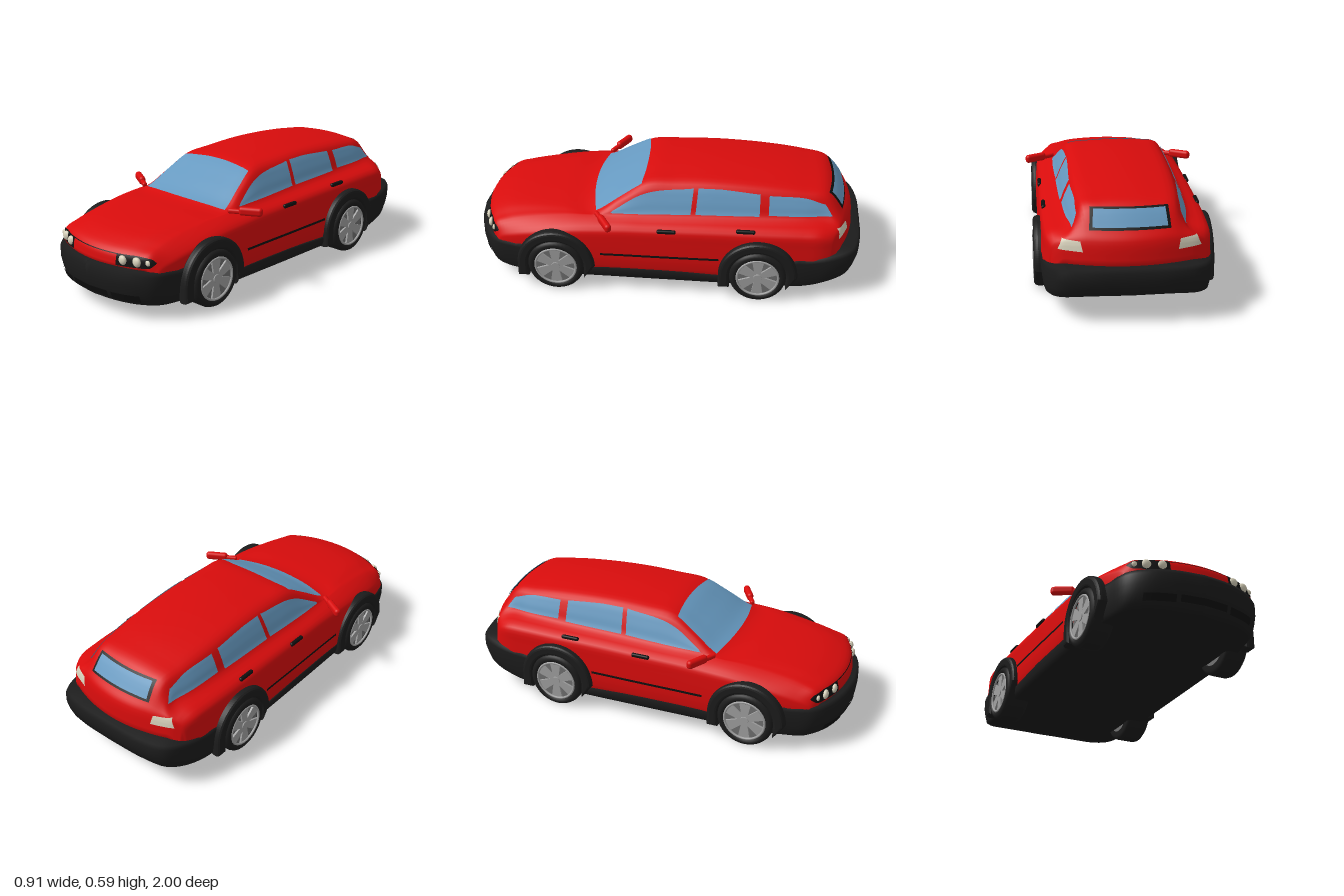
import * as THREE from 'three';
import { RoundedBoxGeometry } from 'three/addons/geometries/RoundedBoxGeometry.js';

const V = (x, y, z) => new THREE.Vector3(x, y, z);
const paint = (color) => new THREE.MeshStandardMaterial({ color, side: THREE.DoubleSide });
const RED = paint(0xd80c0c), BLACK = paint(0x1c1c1c), DARK = paint(0x101010), GLASS = paint(0x6699c0);
const LAMP = paint(0xd8d2bc), METAL = paint(0xa0a0a0), RIM = paint(0x707070);
const curve = (pts) => new THREE.CatmullRomCurve3(pts, false, 'centripetal');

function mesh(parent, name, geometry, material) {
  const m = new THREE.Mesh(geometry, material);
  m.name = name;
  parent.add(m);
  return m;
}

// Smooth surface through a grid of rows with equal point counts
function skin(rows) {
  const n = rows[0].length, index = [];
  for (let i = 0; i < rows.length - 1; i++) {
    for (let j = 0; j < n - 1; j++) {
      const a = i * n + j, b = a + n;
      index.push(a, a + 1, b, a + 1, b + 1, b);
    }
  }
  const g = new THREE.BufferGeometry().setFromPoints(rows.flat());
  g.setIndex(index);
  g.computeVertexNormals();
  return g;
}

// Body stations, front to rear: z, bend, top y, roof edge x, y, belt x, y, side x
const STATIONS = [
  [0.965, 0.85, 0.255, 0.2, 0.254, 0.30, 0.25, 0.335],
  [0.95, 0.85, 0.315, 0.2, 0.314, 0.305, 0.308, 0.348],
  [0.87, 0.8, 0.355, 0.2, 0.352, 0.30, 0.337, 0.367],
  [0.75, 0.7, 0.382, 0.21, 0.378, 0.30, 0.362, 0.382],
  [0.55, 0.55, 0.404, 0.24, 0.398, 0.305, 0.388, 0.395],
  [0.385, 0.45, 0.418, 0.282, 0.403, 0.31, 0.398, 0.396],
  [0.24, 0.3, 0.493, 0.26, 0.478, 0.313, 0.405, 0.396],
  [0.10, 0.05, 0.564, 0.237, 0.545, 0.313, 0.408, 0.397],
  [-0.05, 0, 0.583, 0.234, 0.555, 0.312, 0.412, 0.398],
  [-0.25, 0, 0.588, 0.234, 0.56, 0.308, 0.417, 0.398],
  [-0.5, 0, 0.577, 0.232, 0.549, 0.301, 0.42, 0.398],
  [-0.7, -0.1, 0.555, 0.222, 0.53, 0.286, 0.42, 0.392],
  [-0.82, -0.25, 0.527, 0.207, 0.51, 0.27, 0.415, 0.384],
  [-0.905, -0.5, 0.43, 0.198, 0.425, 0.29, 0.392, 0.365],
  [-0.94, -0.7, 0.385, 0.2, 0.383, 0.305, 0.37, 0.355],
  [-0.955, -0.7, 0.28, 0.2, 0.279, 0.305, 0.275, 0.35],
];

function bodyGeometry() {
  const sections = STATIONS.map(([z, bend, yT, xr, yr, xb, yb, xs]) => {
    const floor = Math.abs(z) > 0.7 ? 0.18 : 0.11;
    return [
      [0, yT], [xr * 0.55, yT - (yT - yr) * 0.25], [xr, yr],
      [(xr + xb) / 2 + 0.005, (yr + yb) / 2], [xb, yb], [xs * 0.968, yb - 0.04],
      [xs, Math.min(0.3, yb - 0.06)], [xs - 0.003, floor + 0.01], [xs - 0.03, floor],
    ].map(([x, y]) => V(x, y, z - bend * x * x));
  });
  const columns = sections[0].map((_, k) => curve(sections.map((s) => s[k])));
  const rows = [];
  for (let i = 0; i <= 75; i++) {
    const half = columns.map((c) => c.getPoint(i / 75));
    const left = half.slice(1).reverse().map((p) => V(-p.x, p.y, p.z));
    rows.push(curve([...left, ...half]).getPoints(64));
  }
  // close the nose and the tail
  const cap = (row) => row.map((p) => V(p.x * 0.9, 0.2, p.z * 0.97));
  return skin([cap(rows[0]), ...rows, cap(rows[75])]);
}

// Black bumpers, sills and floor: x, z, top y, bottom y along one side
const OUTLINE = [
  [0, 1.0, 0.253, 0.07], [0.15, 0.98, 0.253, 0.07], [0.27, 0.935, 0.25, 0.07], [0.345, 0.87, 0.245, 0.07],
  [0.376, 0.76, 0.24, 0.07], [0.387, 0.7, 0.235, 0.07], [0.396, 0.6, 0.14, 0.07], [0.4, 0.3, 0.14, 0.07],
  [0.403, 0, 0.14, 0.07], [0.403, -0.5, 0.14, 0.07], [0.402, -0.63, 0.235, 0.07], [0.397, -0.74, 0.245, 0.07],
  [0.378, -0.86, 0.26, 0.09], [0.325, -0.955, 0.273, 0.115], [0.2, -0.993, 0.275, 0.13], [0, -1.0, 0.275, 0.13],
];

function skirtGeometry() {
  const tops = curve(OUTLINE.map(([x, z, t]) => V(x, t, z))).getPoints(75);
  const bottoms = curve(OUTLINE.map(([x, z, , b]) => V(x, b, z))).getPoints(75);
  // x scale, z scale, height fraction
  const levels = [[0, 0.95, 0], [0.95, 0.95, 0], [0.975, 0.975, 0.1], [0.99, 0.99, 0.35], [1, 1, 0.6],
    [1, 1, 0.88], [0.988, 0.988, 1], [0.85, 0.88, 1]];
  return skin(levels.map(([sx, sz, f]) => {
    const half = tops.map((t, i) => {
      const p = bottoms[i].clone().lerp(t, f);
      return V(p.x * sx, p.y, p.z * sz);
    });
    return [...half, ...half.slice(0, -1).reverse().map((p) => V(-p.x, p.y, p.z))].reverse();
  }));
}

// Ray along one axis onto a surface; a, b are the two remaining coordinates
const ray = new THREE.Raycaster();
const AIM = {
  side: (a, b) => [V(2, b, a), V(-1, 0, 0)],
  top: (a, b) => [V(a, 2, b), V(0, -1, 0)],
  front: (a, b) => [V(a, b, 2), V(0, 0, -1)],
  rear: (a, b) => [V(a, b, -2), V(0, 0, 1)],
};
function project(target, aim, a, b, lift) {
  const [origin, dir] = AIM[aim](a, b);
  ray.set(origin, dir);
  const hit = ray.intersectObject(target)[0];
  const n = hit.face.normal.clone();
  if (n.dot(dir) > 0) n.negate();
  return hit.point.clone().addScaledVector(n, lift);
}

// Thin panel laid on a surface between a lower and an upper edge
function panel(parent, name, material, target, aim, lower, upper, mirror = false, lift = 0.004) {
  const lo = curve(lower.map(([a, b]) => V(a, b, 0))), up = curve(upper.map(([a, b]) => V(a, b, 0)));
  const rows = [];
  for (let j = 0; j <= 10; j++) {
    const row = [];
    for (let i = 0; i <= 24; i++) {
      const p = lo.getPoint(i / 24).lerp(up.getPoint(i / 24), j / 10);
      row.push(project(target, aim, p.x, p.y, lift));
    }
    rows.push(row);
  }
  const g = skin(rows);
  mesh(parent, name, g, material);
  if (mirror) mesh(parent, name, g.clone().scale(-1, 1, 1), material);
}

function wheel(width) {
  const g = new THREE.Group();
  g.name = 'wheel';
  const profile = [[0.1, 0], [0.128, 0], [0.14, 0.008], [0.145, 0.022], [0.145, width - 0.022], [0.14, width - 0.008],
    [0.128, width], [0.112, width], [0.106, width - 0.015]].map(([r, y]) => new THREE.Vector2(r, y));
  mesh(g, 'tyre', new THREE.LatheGeometry(profile, 40).rotateZ(-Math.PI / 2), BLACK);
  mesh(g, 'rim', new THREE.CylinderGeometry(0.107, 0.107, width - 0.02, 40).rotateZ(-Math.PI / 2).translate(width / 2 - 0.006, 0, 0), RIM);
  mesh(g, 'rimLip', new THREE.TorusGeometry(0.104, 0.006, 8, 40).rotateY(Math.PI / 2).translate(width - 0.004, 0, 0), METAL);
  const shape = new THREE.Shape([[-0.014, 0.01], [0.014, 0.01], [0.03, 0.102], [-0.03, 0.102]].map((p) => new THREE.Vector2(...p)));
  for (let i = 0; i < 6; i++) {
    const spoke = new THREE.ExtrudeGeometry(shape, { depth: 0.01, bevelEnabled: false });
    mesh(g, 'spoke', spoke.rotateZ(i * Math.PI / 3).rotateY(Math.PI / 2).translate(width - 0.016, 0, 0), METAL);
  }
  mesh(g, 'hub', new THREE.CylinderGeometry(0.02, 0.024, 0.014, 20).rotateZ(-Math.PI / 2).translate(width - 0.009, 0, 0), METAL);
  return g;
}

// Flared ring over a wheel, chamfered towards its outer face
function archGeometry() {
  const s = new THREE.Shape();
  s.moveTo(0.2, -0.075);
  s.absarc(0, 0, 0.2, 0, Math.PI);
  s.lineTo(-0.2, -0.075);
  s.lineTo(-0.142, -0.075);
  s.absarc(0, 0, 0.142, Math.PI, 0, true);
  s.lineTo(0.142, -0.075);
  return new THREE.ExtrudeGeometry(s, { depth: 0.02, bevelThickness: 0.02, bevelSize: 0.016, bevelOffset: -0.016, bevelSegments: 3, curveSegments: 28 })
    .rotateY(Math.PI / 2);
}

export function createModel() {
  const car = new THREE.Group();
  car.name = 'stationWagon';
  const body = mesh(car, 'body', bodyGeometry(), RED);
  const skirt = mesh(car, 'bumpersAndSills', skirtGeometry(), BLACK);

  // Glass
  panel(car, 'windshield', GLASS, body, 'top',
    [[-0.28, 0.35], [-0.14, 0.374], [0, 0.382], [0.14, 0.374], [0.28, 0.35]],
    [[-0.226, 0.122], [-0.11, 0.11], [0, 0.107], [0.11, 0.11], [0.226, 0.122]]);
  panel(car, 'frontSideWindow', GLASS, body, 'side',
    [[0.275, 0.41], [0.07, 0.416], [-0.13, 0.424]], [[0.265, 0.42], [0.1, 0.512], [-0.142, 0.545]], true);
  panel(car, 'rearSideWindow', GLASS, body, 'side',
    [[-0.155, 0.424], [-0.475, 0.428]], [[-0.165, 0.546], [-0.3, 0.545], [-0.475, 0.53]], true);
  panel(car, 'cargoSideWindow', GLASS, body, 'side',
    [[-0.52, 0.433], [-0.7, 0.428], [-0.838, 0.425]], [[-0.52, 0.525], [-0.7, 0.512], [-0.8, 0.48]], true);
  panel(car, 'rearWindowFrame', DARK, body, 'rear', [[-0.185, 0.427], [0.185, 0.427]], [[-0.178, 0.515], [0.178, 0.515]], false, 0.003);
  panel(car, 'rearWindow', GLASS, body, 'rear', [[-0.17, 0.437], [0.17, 0.437]], [[-0.163, 0.507], [0.163, 0.507]], false, 0.007);

  // Lamps, trim and bumper openings
  panel(car, 'headlampBezel', DARK, body, 'front',
    [[0.153, 0.258], [0.25, 0.26], [0.315, 0.265], [0.33, 0.282]], [[0.153, 0.312], [0.25, 0.312], [0.31, 0.305], [0.33, 0.288]], true, 0.003);
  panel(car, 'grilleSeam', DARK, body, 'front', [[-0.155, 0.308], [0.155, 0.308]], [[-0.155, 0.312], [0.155, 0.312]], false, 0.002);
  panel(car, 'tailLamp', LAMP, body, 'rear', [[0.215, 0.336], [0.325, 0.338]], [[0.225, 0.382], [0.305, 0.384]], true);
  panel(car, 'rubStrip', DARK, body, 'side', [[0.32, 0.219], [-0.28, 0.222]], [[0.32, 0.231], [-0.28, 0.234]], true, 0.006);
  panel(car, 'sideIntake', DARK, skirt, 'front', [[0.14, 0.095], [0.28, 0.095]], [[0.14, 0.13], [0.28, 0.13]], true);
  panel(car, 'centreIntake', DARK, skirt, 'front', [[-0.12, 0.1], [0.12, 0.1]], [[-0.12, 0.132], [0.12, 0.132]]);

  for (const side of [1, -1]) {
    for (const [x, r] of [[0.187, 0.023], [0.255, 0.024], [0.304, 0.014]]) {
      const p = project(body, 'front', x, 0.287, 0.002);
      mesh(car, 'headlamp', new THREE.SphereGeometry(r, 20, 14).scale(1, 1, 0.6), LAMP).position.set(p.x * side, p.y, p.z);
    }
    for (const [z, y] of [[-0.015, 0.369], [-0.41, 0.386]]) {
      const p = project(body, 'side', z, y, 0.002);
      mesh(car, 'doorHandle', new RoundedBoxGeometry(0.02, 0.02, 0.095, 3, 0.008), DARK).position.set(p.x * side, p.y, p.z);
    }
    // Door mirror on a short stalk
    const mirror = new THREE.Group();
    mirror.name = 'doorMirror';
    mesh(mirror, 'mirrorShell', new RoundedBoxGeometry(0.12, 0.044, 0.034, 4, 0.016), RED);
    mesh(mirror, 'mirrorStalk', new RoundedBoxGeometry(0.08, 0.024, 0.024, 3, 0.01), RED).position.set(-0.075 * side, -0.004, 0);
    mirror.position.set(0.4 * side, 0.412, 0.292);
    mirror.rotation.y = 0.52 * side;
    car.add(mirror);
    // Wheels and arch flares
    for (const [z, outer] of [[0.55, 0.424], [-0.48, 0.434]]) {
      const w = wheel(outer - 0.302);
      w.position.set(0.302 * side, 0.145, z);
      if (side < 0) w.rotation.y = Math.PI;
      car.add(w);
      const arch = mesh(car, 'wheelArch', archGeometry(), BLACK);
      arch.position.set((outer - 0.043) * side, 0.145, z);
      if (side < 0) arch.rotation.y = Math.PI;
    }
  }
  return car;
}
